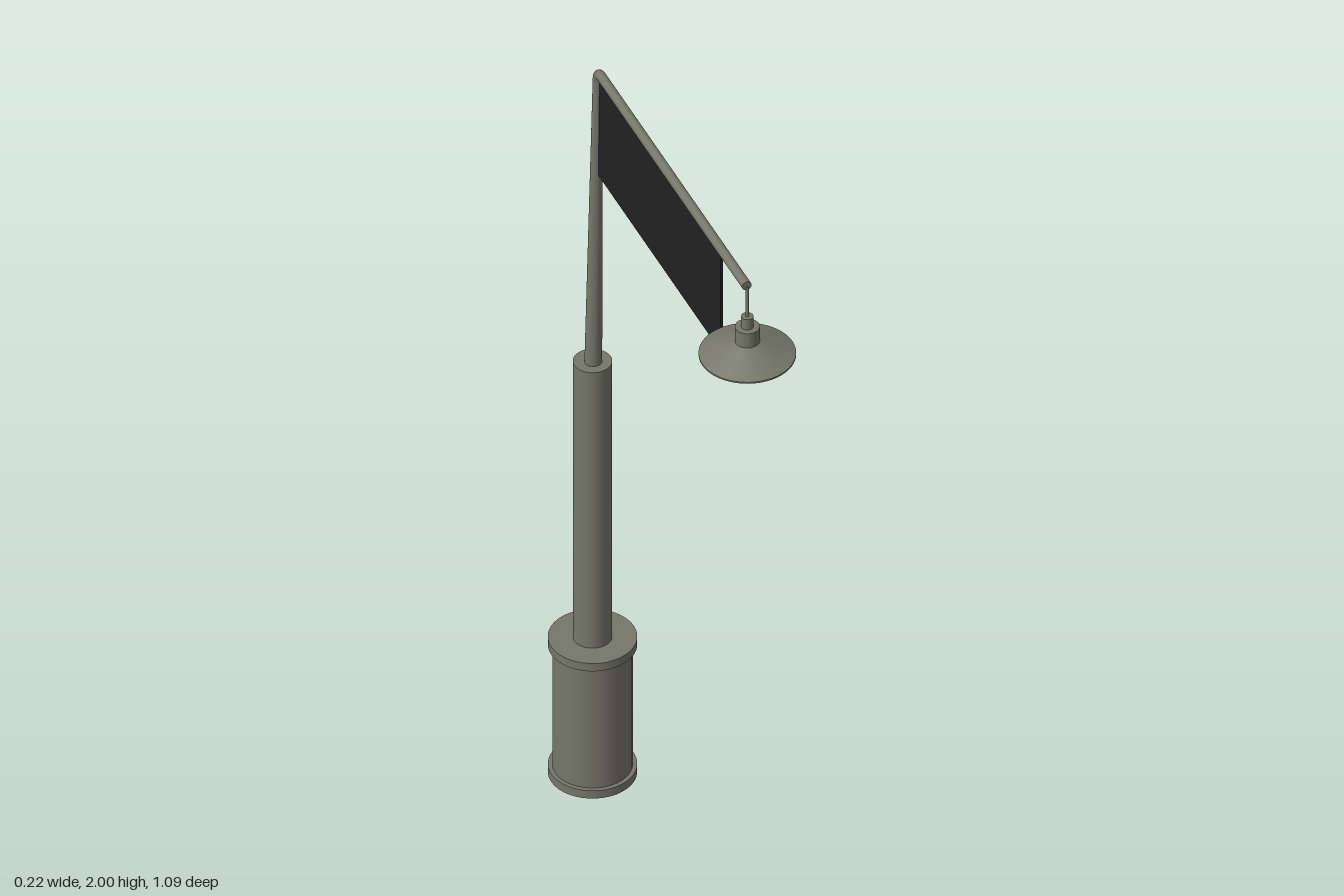
import * as THREE from 'three';

const metal = new THREE.MeshStandardMaterial({ color: 0x76776a });
metal.name = 'olive grey metal';
const dark = new THREE.MeshStandardMaterial({ color: 0x222222 });
dark.name = 'black banner';

export function createModel() {
  const model = new THREE.Group();
  model.name = 'streetLamp';

  const add = (parent, name, geometry, material = metal) => {
    const mesh = new THREE.Mesh(geometry, material);
    mesh.name = name;
    parent.add(mesh);
    return mesh;
  };
  // Upright round part between two heights
  const round = (parent, name, y0, y1, r0, r1 = r0, sides = 40) => {
    const mesh = add(parent, name, new THREE.CylinderGeometry(r1, r0, y1 - y0, sides));
    mesh.position.y = (y0 + y1) / 2;
    return mesh;
  };

  // Post: flanged base and straight column
  const post = new THREE.Group();
  post.name = 'post';
  post.position.set(-0.003, 0, -0.445);
  model.add(post);
  round(post, 'baseFlange', 0, 0.022, 0.1);
  round(post, 'baseBody', 0.022, 0.358, 0.09);
  round(post, 'baseCollar', 0.358, 0.38, 0.1);
  round(post, 'column', 0.38, 1.155, 0.044);

  // Upper pole: tapers and leans forward
  const foot = new THREE.Vector3(-0.002, 1.15, -0.443);
  const head = new THREE.Vector3(-0.002, 1.968, -0.417);
  const lean = head.clone().sub(foot);
  const pole = add(model, 'upperPole', new THREE.CylinderGeometry(0.0115, 0.02, lean.length(), 24));
  pole.position.copy(foot).add(head).multiplyScalar(0.5);
  pole.quaternion.setFromUnitVectors(new THREE.Vector3(0, 1, 0), lean.clone().normalize());

  // Arm: rounded elbow, then a straight run to the lamp
  const elbowEnd = new THREE.Vector3(-0.002, 1.9885, -0.396);
  const armEnd = new THREE.Vector3(-0.002, 1.9885, 0.436);
  const elbow = new THREE.QuadraticBezierCurve3(head, new THREE.Vector3(-0.002, 1.9885, -0.4165), elbowEnd);
  add(model, 'armElbow', new THREE.TubeGeometry(elbow, 10, 0.0115, 20));
  const arm = add(model, 'arm', new THREE.CylinderGeometry(0.0115, 0.0115, armEnd.z - elbowEnd.z, 20));
  arm.rotation.x = Math.PI / 2;
  arm.position.copy(elbowEnd).add(armEnd).multiplyScalar(0.5);

  // Banner hanging below the arm
  const banner = add(model, 'banner', new THREE.BoxGeometry(0.006, 0.285, 0.7), dark);
  banner.position.set(0, 1.8425, -0.063);

  // Lamp: hanger, stepped socket, shallow closed shade
  const lamp = new THREE.Group();
  lamp.name = 'lamp';
  lamp.position.set(0, 0, 0.434);
  model.add(lamp);
  round(lamp, 'hanger', 1.89, 1.985, 0.004, 0.004, 12);
  round(lamp, 'socketNeck', 1.872, 1.902, 0.014, 0.014, 24);
  round(lamp, 'socket', 1.83, 1.873, 0.028);
  round(lamp, 'shade', 1.799, 1.833, 0.109, 0.028, 48);
  round(lamp, 'shadeRim', 1.795, 1.799, 0.109, 0.109, 48);

  return model;
}
